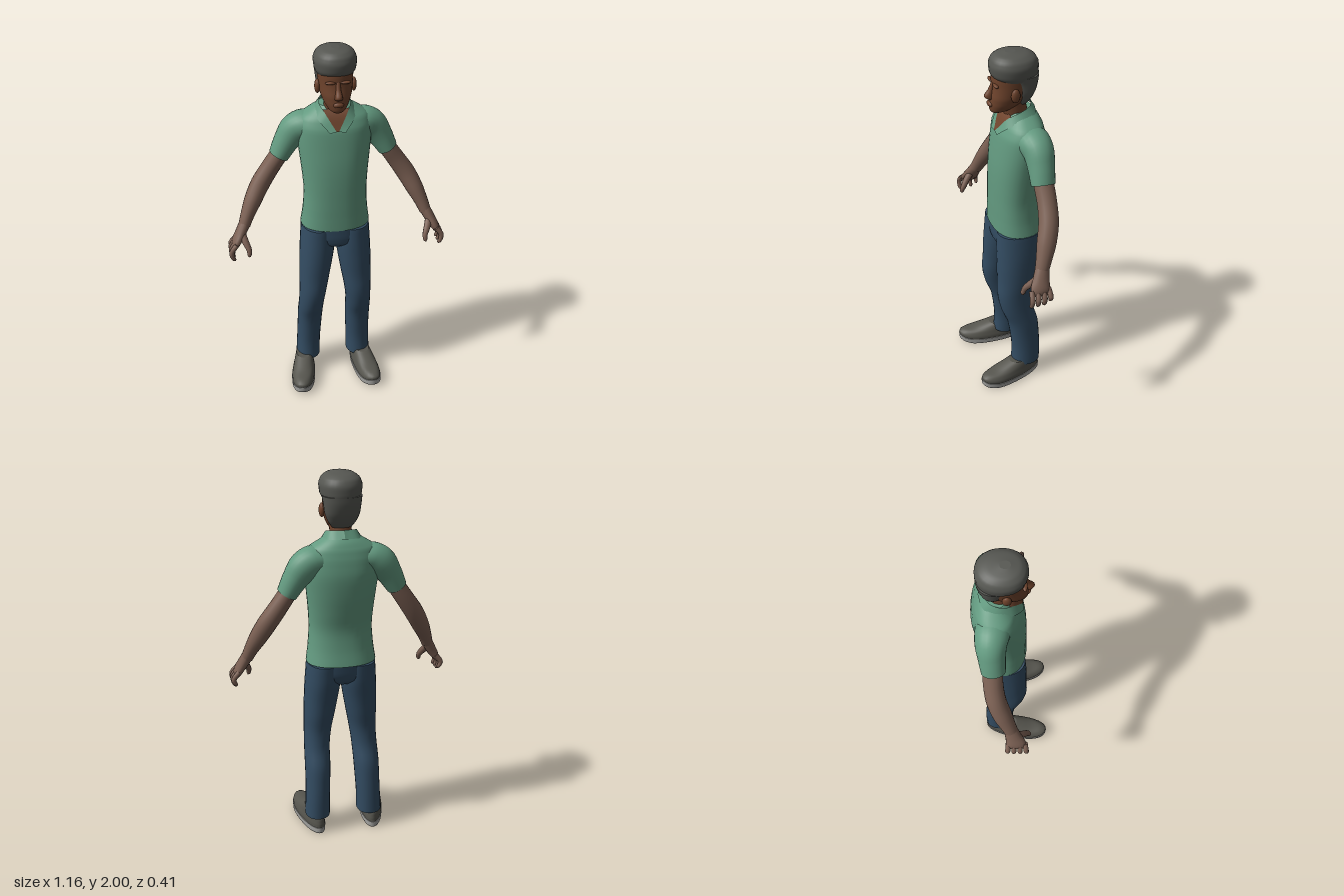
import * as THREE from 'three';

const mat = (name, color, extra = {}) => Object.assign(new THREE.MeshStandardMaterial({ color, ...extra }), { name });

// Smooth skin through rings [x, y, z, radiusU, radiusV]; level rings stay horizontal,
// otherwise they turn with the path. "square" above 2 makes the ring boxier.
function loft(rings, { level = true, sides = 24, steps = 4, square = 2 } = {}) {
  const centre = new THREE.CatmullRomCurve3(rings.map(r => new THREE.Vector3(r[0], r[1], r[2])));
  const radius = new THREE.CatmullRomCurve3(rings.map(r => new THREE.Vector3(r[3], r[4], 0)));
  const rows = (rings.length - 1) * steps;
  const pos = [], index = [], Z = new THREE.Vector3(0, 0, 1);
  const up = Math.sign(rings[rings.length - 1][1] - rings[0][1]);
  const pw = c => Math.sign(c) * Math.pow(Math.abs(c), 2 / square);
  for (let i = 0; i <= rows; i++) {
    const t = i / rows, c = centre.getPoint(t), r = radius.getPoint(t);
    const T = level ? new THREE.Vector3(0, up, 0) : centre.getTangent(t);
    const u = T.clone().cross(Z).normalize(), v = u.clone().cross(T);
    for (let j = 0; j < sides; j++) {
      const a = j / sides * Math.PI * 2;
      const p = c.clone().addScaledVector(u, pw(Math.cos(a)) * r.x).addScaledVector(v, pw(Math.sin(a)) * r.y);
      pos.push(p.x, p.y, p.z);
      if (i < rows) {
        const k = i * sides + j, n = i * sides + (j + 1) % sides;
        index.push(k, k + sides, n, n, k + sides, n + sides);
      }
    }
  }
  // End caps with their own vertices, so the rims stay crisp
  for (const [row, c] of [[0, centre.getPoint(0)], [rows, centre.getPoint(1)]]) {
    const base = pos.length / 3;
    pos.push(...pos.slice(row * sides * 3, (row + 1) * sides * 3), c.x, c.y, c.z);
    for (let j = 0; j < sides; j++) {
      const a = base + j, b = base + (j + 1) % sides;
      index.push(base + sides, ...(row ? [b, a] : [a, b]));
    }
  }
  const g = new THREE.BufferGeometry();
  g.setAttribute('position', new THREE.Float32BufferAttribute(pos, 3));
  g.setIndex(index);
  g.computeVertexNormals();
  return g;
}

// Open strip between two curves
function ribbon(curveA, curveB, from = 0, to = 1, n = 16) {
  const pos = [], index = [];
  for (let i = 0; i <= n; i++) {
    const t = from + (to - from) * i / n;
    pos.push(...curveA.getPoint(t).toArray(), ...curveB.getPoint(t).toArray());
    if (i < n) index.push(2 * i, 2 * i + 1, 2 * i + 2, 2 * i + 2, 2 * i + 1, 2 * i + 3);
  }
  const g = new THREE.BufferGeometry();
  g.setAttribute('position', new THREE.Float32BufferAttribute(pos, 3));
  g.setIndex(index);
  g.computeVertexNormals();
  return g;
}

// Rings given as [y, halfWidth, zFront, zBack], centred on x = 0
const body = rows => rows.map(([y, a, f, b]) => [0, y, (f + b) / 2, a, (f - b) / 2]);
const curve = (pts, s) => new THREE.CatmullRomCurve3(pts.map(p => new THREE.Vector3(p[0] * s, p[1], p[2])));

export function createModel() {
  const model = new THREE.Group();
  model.name = 'standingMan';
  const shirt = mat('shirtGreen', 0x639a80, { side: THREE.DoubleSide });
  const jeans = mat('jeansBlue', 0x334c62);
  const face = mat('faceSkin', 0x6e432c, { side: THREE.DoubleSide });
  const arm = mat('armSkin', 0x7b6053);
  const hair = mat('hairGrey', 0x565752);
  const shoe = mat('shoeGrey', 0x56554e);
  const sole = mat('soleLight', 0xa3a3a0);
  const tread = mat('treadDark', 0x2c2b2a);

  const add = (name, geo, material, parent = model) => {
    const m = new THREE.Mesh(geo, material);
    m.name = name;
    parent.add(m);
    return m;
  };

  // Torso and hips
  add('shirtBody', loft(body([
    [1.015, .184, .072, -.195], [1.1, .172, .071, -.178], [1.2, .165, .07, -.17], [1.3, .17, .068, -.185],
    [1.4, .18, .062, -.2], [1.5, .19, .05, -.207], [1.58, .19, .037, -.198], [1.63, .172, .014, -.185],
    [1.665, .12, -.012, -.168], [1.69, .08, -.03, -.148]]), { sides: 36, square: 2.3 }), shirt);
  add('jeansHips', loft(body([
    [.89, .1, .03, -.13], [.92, .155, .06, -.165], [.96, .178, .066, -.178], [1.03, .176, .066, -.186],
  ]), { sides: 32, square: 2.2 }), jeans);

  // Neck and head
  add('neck', loft([[0, 1.58, -.075, .06, .06], [0, 1.66, -.066, .056, .06], [0, 1.76, -.045, .056, .062]]), face);
  add('head', loft(body([
    [1.694, .026, .062, .005], [1.706, .044, .07, -.035], [1.74, .066, .073, -.095], [1.78, .08, .07, -.13],
    [1.83, .086, .06, -.15], [1.88, .089, .058, -.155], [1.93, .084, .048, -.15], [1.97, .05, .02, -.11],
  ]), { sides: 28, square: 2.15 }), face);
  add('nose', loft([[0, 1.855, .052, .01, .008], [0, 1.815, .062, .013, .016], [0, 1.785, .073, .019, .026],
    [0, 1.772, .07, .02, .02], [0, 1.763, .064, .01, .01]], { sides: 12 }), face);
  const lips = add('lips', new THREE.SphereGeometry(1, 16, 10), face);
  lips.scale.set(.026, .014, .014);
  lips.position.set(0, 1.74, .069);

  // Hair: full top and short back
  add('hairTop', loft(body([
    [1.87, .092, .045, -.165], [1.895, .103, .064, -.173], [1.935, .107, .07, -.173], [1.97, .095, .06, -.157],
    [1.99, .067, .035, -.12], [2, .02, -.01, -.06]]), { sides: 28, square: 2.15 }), hair);
  add('hairBack', loft(body([
    [1.73, .05, -.06, -.113], [1.76, .071, -.045, -.136], [1.8, .087, -.035, -.156], [1.85, .094, -.022, -.169],
    [1.89, .1, 0, -.173]]), { sides: 28, square: 2.3 }), hair);

  // Collar edges, from the nape round to the throat
  const upper = [[0, 1.725, -.14], [.06, 1.72, -.115], [.08, 1.705, -.06], [.058, 1.67, -.002], [.006, 1.585, .047]];
  const lower = [[0, 1.685, -.165], [.075, 1.68, -.14], [.108, 1.662, -.07], [.088, 1.632, .008], [.04, 1.58, .05]];
  add('throat', ribbon(curve(upper, -1), curve(upper, 1), .68, 1, 8), face);

  for (const s of [1, -1]) {
    const side = s > 0 ? 'left' : 'right';
    const flip = rings => rings.map(([x, ...rest]) => [x * s, ...rest]);
    add(side + 'Collar', ribbon(curve(upper, s), curve(lower, s)), shirt);

    const ear = add(side + 'Ear', new THREE.SphereGeometry(1, 14, 10), face);
    ear.scale.set(.015, .036, .023);
    ear.position.set(.09 * s, 1.805, -.03);
    const brow = add(side + 'Brow', new THREE.SphereGeometry(1, 12, 8), face);
    brow.scale.set(.028, .008, .012);
    brow.position.set(.036 * s, 1.85, .052);

    // Sleeve and arm
    add(side + 'Sleeve', loft(flip([
      [.08, 1.575, -.09, .06, .085], [.15, 1.572, -.1, .075, .085], [.195, 1.545, -.108, .079, .078],
      [.24, 1.485, -.106, .067, .068], [.285, 1.405, -.1, .053, .061]]), { level: false }), shirt);
    add(side + 'Arm', loft(flip([
      [.25, 1.465, -.105, .045, .05], [.285, 1.405, -.104, .046, .051], [.335, 1.33, -.102, .048, .05],
      [.388, 1.25, -.09, .05, .051], [.432, 1.17, -.064, .046, .05], [.468, 1.095, -.036, .036, .041],
      [.488, 1.045, -.018, .031, .036]]), { level: false, sides: 18 }), arm);

    // Hand with four fingers and a thumb
    const hand = new THREE.Group();
    hand.name = side + 'Hand';
    model.add(hand);
    add('palm', loft(flip([
      [.483, 1.06, -.022, .03, .035], [.51, 1.01, -.006, .028, .043], [.535, .967, .006, .024, .052],
      [.548, .94, .008, .014, .048]]), { level: false, sides: 16 }), arm, hand);
    for (let i = 0; i < 4; i++) {
      const z = -.034 + i * .029, drop = (i === 0 ? .016 : 0);
      add('finger', loft(flip([
        [.535, .97, z, .013, .014], [.564, .932, z * 1.1, .014, .014], [.562, .902 + drop, z * 1.15, .012, .012],
        [.552, .884 + drop, z * 1.15, .009, .009], [.549, .878 + drop, z * 1.15, .002, .002],
      ]), { level: false, sides: 10, steps: 3 }), arm, hand);
    }
    add('thumb', loft(flip([
      [.505, 1.015, .005, .02, .02], [.488, .975, .042, .018, .018], [.473, .94, .066, .014, .015],
      [.474, .915, .075, .011, .012], [.478, .905, .076, .003, .003],
    ]), { level: false, sides: 10, steps: 3 }), arm, hand);

    // Trouser leg; the right one stands slightly wider
    const stance = s > 0 ? 0 : .022;
    add(side + 'Leg', loft([
      [.137, .095, -.083, .068, .083], [.135, .2, -.085, .066, .081], [.132, .3, -.078, .067, .083],
      [.13, .4, -.064, .069, .086], [.127, .5, -.032, .069, .089], [.12, .6, -.02, .074, .095],
      [.112, .7, -.03, .083, .103], [.103, .8, -.038, .09, .111], [.095, .9, -.05, .094, .12],
      [.092, 1.01, -.06, .09, .124],
    ].map(([x, y, ...rest]) => [s * (x + stance * (1 - y)), y, ...rest]), { square: 2.15 }), jeans);

    // Shoe: wider at the ball of the foot, toe lifted
    const foot = new THREE.Group();
    foot.name = side + 'Shoe';
    foot.position.set(s > 0 ? .16 : -.193, 0, 0);
    foot.rotation.y = .17 * s;
    model.add(foot);
    const shape = rings => {
      const g = loft(rings, { sides: 32, square: 2.2 }), p = g.attributes.position;
      for (let i = 0; i < p.count; i++) {
        const z = p.getZ(i);
        p.setX(i, p.getX(i) * (1 + .8 * z));
        p.setY(i, p.getY(i) + 2 * Math.max(0, z - .1) ** 2);
      }
      g.computeVertexNormals();
      return g;
    };
    add('tread', shape([[0, 0, .018, .061, .181], [0, .007, .018, .063, .184]]), tread, foot);
    add('sole', shape([[0, .006, .018, .064, .185], [0, .034, .018, .065, .186]]), sole, foot);
    add('upper', shape([[0, .03, .018, .062, .183], [0, .05, .018, .062, .182], [0, .075, .004, .057, .165],
      [0, .095, -.028, .053, .127], [0, .122, -.065, .047, .085]]), shoe, foot);
  }
  return model;
}
